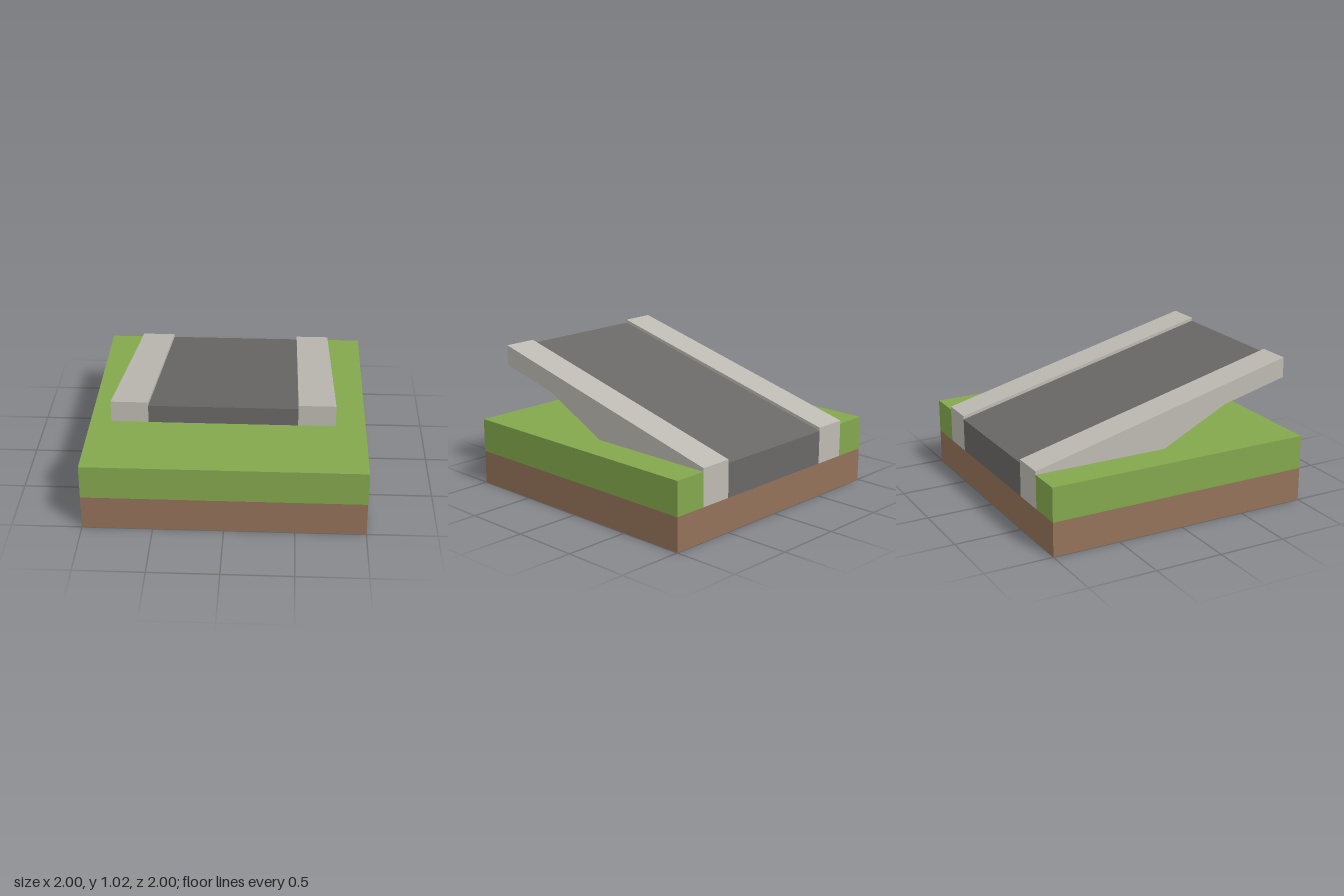
import * as THREE from 'three';

const paint = (name, color) => {
  const m = new THREE.MeshStandardMaterial({ color, side: THREE.DoubleSide });
  m.name = name;
  return m;
};

// Open strip: a (z, y) profile swept across x0..x1, with flat facets
function ribbon(profile, x0, x1) {
  const pos = [];
  for (let i = 0; i < profile.length - 1; i++) {
    const [za, ya] = profile[i], [zb, yb] = profile[i + 1];
    pos.push(x0, ya, za, x0, yb, zb, x1, yb, zb);
    pos.push(x0, ya, za, x1, yb, zb, x1, ya, za);
  }
  const g = new THREE.BufferGeometry();
  g.setAttribute('position', new THREE.Float32BufferAttribute(pos, 3));
  g.computeVertexNormals();
  return g;
}

// Flat (z, y) outline standing at x and facing the given side (+1 or -1)
function wall(outline, x, side) {
  const shape = new THREE.Shape(outline.map(([z, y]) => new THREE.Vector2(-side * z, y)));
  return new THREE.ShapeGeometry(shape).rotateY(side * Math.PI / 2).translate(x, 0, 0);
}

export function createModel() {
  const grass = paint('grass', 0x84a74d);
  const soil = paint('soil', 0x937259);
  const asphalt = paint('asphalt', 0x696866);
  const concrete = paint('concrete', 0xbdbab2);

  const model = new THREE.Group();
  model.name = 'roadRamp';
  const add = (name, geometry, material) => {
    const mesh = new THREE.Mesh(geometry, material);
    mesh.name = name;
    model.add(mesh);
  };

  // Hollow ground block, open below and under the ramp
  add('soilBack', ribbon([[-1, 0], [-1, 0.25]], -1, 1), soil);
  add('soilFront', ribbon([[1, 0.25], [1, 0]], -1, 1), soil);
  add('grassFront', ribbon([[0, 0.5], [1, 0.5], [1, 0.25]], -1, 1), grass);

  // Road deck with its two ends, and the bent underside of the ramp
  add('roadDeck', ribbon([[-1, 0.25], [-1, 0.5], [1, 1], [1, 0.875]], -0.5, 0.5), asphalt);
  add('rampUnderside', ribbon([[1, 0.875], [0.5, 0.75], [0, 0.5]], -0.75, 0.75), asphalt);

  for (const [s, label] of [[1, 'left'], [-1, 'right']]) {
    const span = (a, b) => [Math.min(s * a, s * b), Math.max(s * a, s * b)];

    // Ground sides and the grass strip beside the ramp
    add(label + 'SoilSide', wall([[-1, 0], [1, 0], [1, 0.25], [-1, 0.25]], s, s), soil);
    add(label + 'GrassSide', wall([[-1, 0.25], [1, 0.25], [1, 0.5], [-1, 0.5]], s, s), grass);
    add(label + 'GrassStrip', ribbon([[-1, 0.25], [-1, 0.5], [0, 0.5]], ...span(0.75, 1)), grass);

    // Kerb: top and ends, outer wall, low inner wall
    add(label + 'KerbTop', ribbon([[-1, 0.25], [-1, 0.525], [1, 1.025], [1, 0.875]], ...span(0.5, 0.75)), concrete);
    add(label + 'KerbOuterWall', wall(
      [[-1, 0.5], [0, 0.5], [0.5, 0.75], [1, 0.875], [1, 1.025], [-1, 0.525]], s * 0.75, s), concrete);
    add(label + 'KerbInnerWall', wall(
      [[-1, 0.5], [1, 1], [1, 1.025], [-1, 0.525]], s * 0.5, -s), concrete);
  }
  return model;
}
